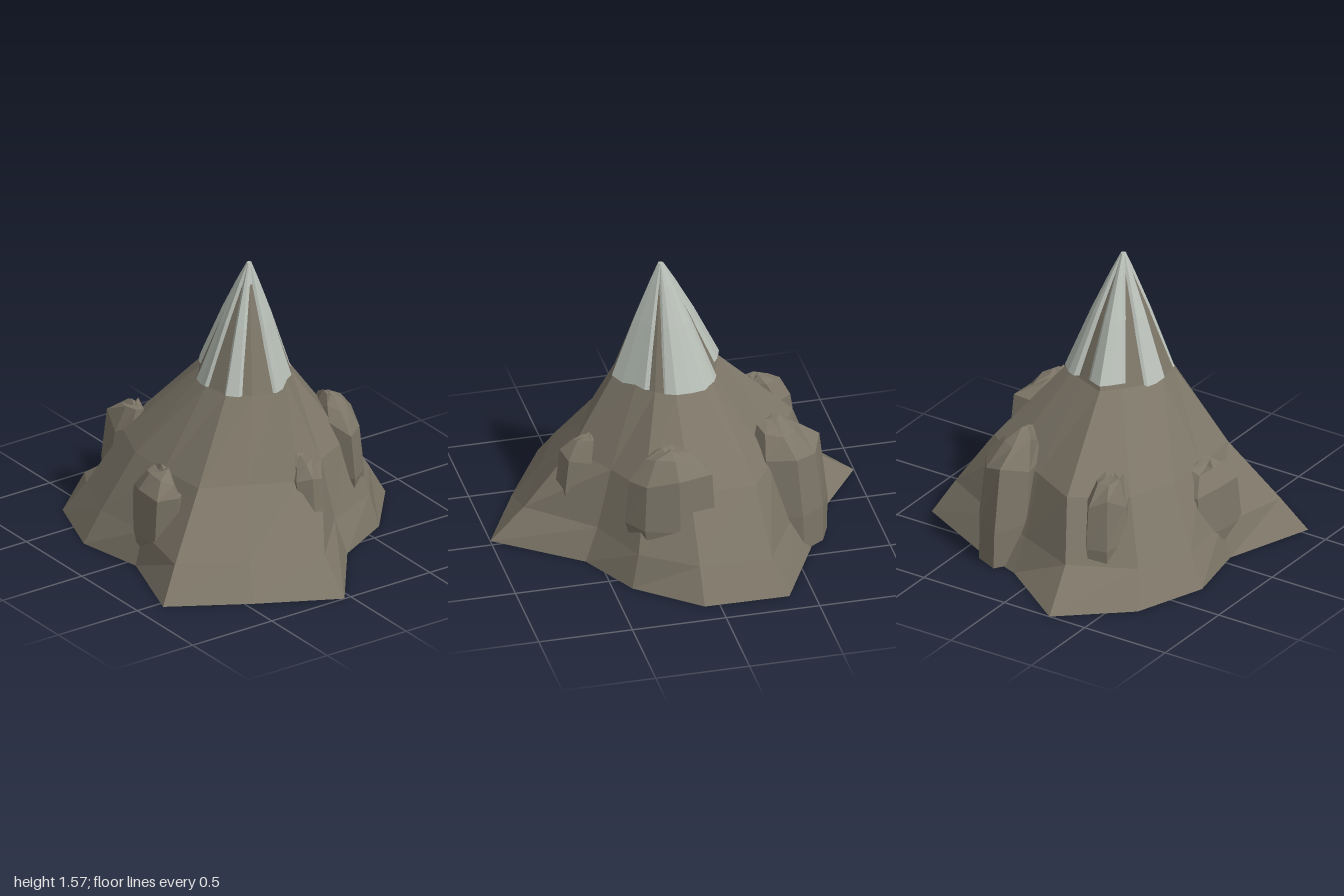
import * as THREE from 'three';

const rockMaterial = new THREE.MeshStandardMaterial({ color: 0x7d7668, flatShading: true, roughness: 1 });
const snowMaterial = new THREE.MeshStandardMaterial({ color: 0xb9c0b8, flatShading: true, roughness: 1 });
const PEAK = new THREE.Vector3(0.1, 1.57, 0.01);

function seeded(seed) {
  let s = seed * 7919 + 17;
  return () => (s = (s * 16807) % 2147483647) / 2147483647;
}

// Closed faceted solid through rings of equal length, from bottom to top
function loft(name, rings, material) {
  const pos = [];
  const tri = (...pts) => pts.forEach((p) => pos.push(p.x, p.y, p.z));
  const centre = (ring) => ring.reduce((c, p) => c.add(p), new THREE.Vector3()).divideScalar(ring.length);
  const n = rings[0].length;
  const last = rings[rings.length - 1];
  const bottom = centre(rings[0]);
  const top = centre(last);
  for (let i = 0; i < n; i++) {
    const j = (i + 1) % n;
    for (let r = 0; r < rings.length - 1; r++) {
      const lo = rings[r], up = rings[r + 1];
      tri(lo[i], up[i], lo[j]);
      tri(up[i], up[j], lo[j]);
    }
    tri(bottom, rings[0][i], rings[0][j]);
    tri(top, last[j], last[i]);
  }
  const geometry = new THREE.BufferGeometry();
  geometry.setAttribute('position', new THREE.Float32BufferAttribute(pos, 3));
  geometry.computeVertexNormals();
  const mesh = new THREE.Mesh(geometry, material);
  mesh.name = name;
  return mesh;
}

// Contours of the slope as x, z pairs, starting at the back and going towards +x
const FOOT = [[-0.37, -0.87], [0.08, -0.865], [0.4, -0.6], [0.57, -0.28], [1, 0.04], [0.78, 0.46], [0.54, 0.865],
  [0.06, 0.7], [-0.31, 0.77], [-0.7, 0.63], [-1, 0.28], [-0.7, -0.14], [-0.6, -0.42]];
const LOWER = [[-0.3, -0.77], [0.08, -0.76], [0.36, -0.57], [0.5, -0.25], [0.82, 0.04], [0.66, 0.4], [0.47, 0.74],
  [0.05, 0.65], [-0.28, 0.68], [-0.59, 0.56], [-0.76, 0.22], [-0.62, -0.12], [-0.5, -0.4]];
const MIDDLE = [[-0.27, -0.55], [0.08, -0.56], [0.3, -0.46], [0.42, -0.22], [0.57, 0.03], [0.45, 0.27], [0.34, 0.5],
  [0.06, 0.52], [-0.2, 0.52], [-0.45, 0.42], [-0.64, 0.15], [-0.5, -0.12], [-0.4, -0.36]];
const UPPER = [[-0.07, -0.23], [0.08, -0.25], [0.18, -0.2], [0.26, -0.11], [0.35, 0.02], [0.31, 0.14], [0.22, 0.24],
  [0.08, 0.27], [-0.03, 0.24], [-0.14, 0.16], [-0.23, 0.08], [-0.17, -0.07], [-0.13, -0.16]];

const contour = (pairs, y) => pairs.map(([x, z]) => new THREE.Vector3(x, y, z));

// Scales a contour about the axis of the peak; scale and height may vary with the spoke
function shrink(pairs, scaleAt, yAt) {
  return pairs.map(([x, z], i) => new THREE.Vector3(
    PEAK.x + (x - PEAK.x) * scaleAt(i), yAt(i), PEAK.z + (z - PEAK.z) * scaleAt(i)));
}

// Snow: broad sheets over the upper slope, broken by a few creases of bare rock
function snowCap() {
  const fine = [];
  UPPER.forEach(([x, z], i) => {
    const [x2, z2] = UPPER[(i + 1) % UPPER.length];
    fine.push([x, z], [(x + x2) / 2, (z + z2) / 2]);
  });
  const creases = [4, 9, 10, 13, 17, 22];
  const random = seeded(5);
  const pleat = fine.map((_, i) => (creases.includes(i) ? -0.1 : 0.01 + random() * 0.06));
  const lift = fine.map((_, i) => (i > 17 && i < 22 ? 0.04 : random() * 0.02));
  const ring = (scale, y, pleating, ragged) => shrink(fine,
    (i) => scale * (1 + pleat[i] * pleating) - lift[i] * ragged * 1.4,
    (i) => y + lift[i] * ragged);
  return loft('snowCap', [ring(0.9, 0.92, 0.2, 1), ring(1.02, 0.91, 1, 1), ring(0.55, 1.25, 1.2, 0),
    ring(0.23, 1.46, 1.2, 0), ring(0.05, 1.57, 0, 0)], snowMaterial);
}

// Rock outcrop: uneven column that leans uphill and ends in a small broken crown
function outcrop({ name, at, size, y, turn = 0, sides = 8, seed, lean = 0.05, foot = 0.8 }) {
  const random = seeded(seed);
  const [cx, cz] = at;
  const uphill = new THREE.Vector2(PEAK.x - cx, PEAK.z - cz).normalize();
  const wobble = Array.from({ length: sides }, () => 0.86 + random() * 0.24);
  const [y0, y1] = y;
  // height fraction, width, lean, vertical unevenness
  const levels = [[0, foot, -0.3, 0], [0.3, 1, -0.2, 0.03], [0.76, 0.92, 0.1, 0.08],
    [0.9, 0.55, 0.6, 0.07], [0.98, 0.18, 0.9, 0.04]];
  const rings = levels.map(([h, w, l, uneven]) => wobble.map((k, i) => {
    const a = (i / sides) * Math.PI * 2;
    const px = Math.cos(a) * size[0] * w * k;
    const pz = Math.sin(a) * size[1] * w * k;
    return new THREE.Vector3(
      cx + px * Math.cos(turn) - pz * Math.sin(turn) + uphill.x * lean * l,
      y0 + (y1 - y0) * h + (random() - 0.5) * uneven,
      cz + px * Math.sin(turn) + pz * Math.cos(turn) + uphill.y * lean * l);
  }));
  return loft(name, rings, rockMaterial);
}

export function createModel() {
  const group = new THREE.Group();
  group.name = 'mountain';

  // Main slope
  group.add(loft('mountainSlope', [
    contour(FOOT, 0),
    contour(LOWER, 0.18),
    contour(MIDDLE, 0.5),
    contour(UPPER, 0.92),
    shrink(UPPER, () => 0.53, () => 1.25),
    shrink(UPPER, () => 0.04, () => 1.565),
  ], rockMaterial));

  group.add(snowCap());

  // Outcrops around the flanks
  [
    { name: 'backRightOutcrop', at: [-0.5, -0.29], size: [0.21, 0.16], y: [0.005, 0.72], turn: 0.1, sides: 7, seed: 3, lean: 0.09, foot: 0.95 },
    { name: 'backOutcrop', at: [0.17, -0.49], size: [0.24, 0.13], y: [0.12, 0.73], turn: 0.22, sides: 7, seed: 8, lean: 0.05 },
    { name: 'frontRightOutcrop', at: [-0.55, 0.35], size: [0.15, 0.1], y: [0.12, 0.63], turn: 0.35, sides: 6, seed: 12, lean: 0.08 },
    { name: 'frontOutcrop', at: [0.07, 0.57], size: [0.2, 0.11], y: [0.01, 0.52], turn: 0.05, sides: 7, seed: 15, lean: 0.04 },
    { name: 'leftOutcrop', at: [0.55, -0.03], size: [0.12, 0.09], y: [0.18, 0.63], turn: 0.2, sides: 6, seed: 19 },
  ].forEach((spec) => group.add(outcrop(spec)));

  return group;
}
